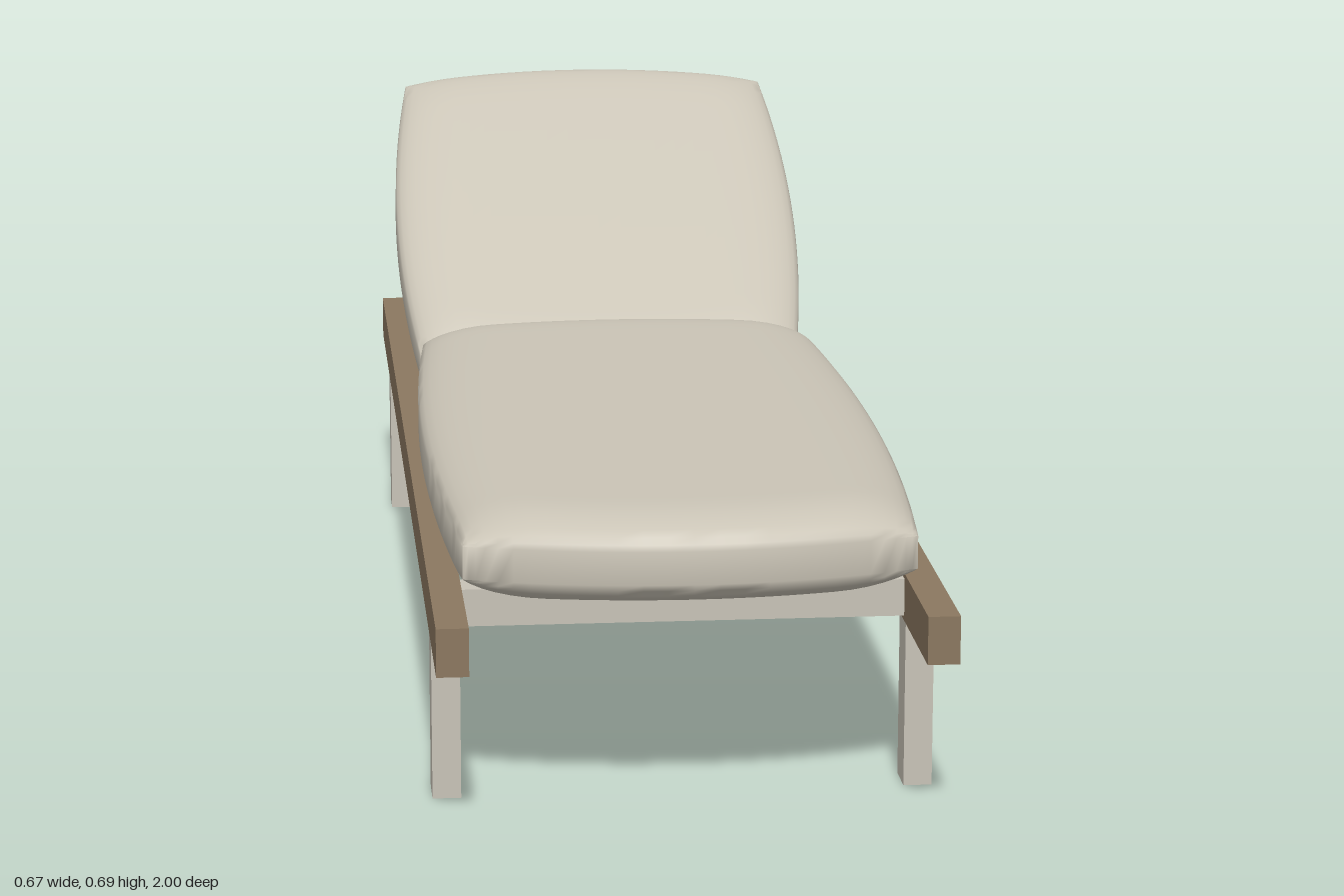
import * as THREE from 'three';
import { toCreasedNormals } from 'three/addons/utils/BufferGeometryUtils.js';

const material = (name, color) => new THREE.MeshStandardMaterial({ name, color });

// Pillow with bowed sides and ends, and faces that round off towards a thin edge band
function cushionGeometry({ halfWidth, halfLength, halfHeight, sideBow, endBow, edge, radius }) {
  const geo = new THREE.BoxGeometry(2, 2, 2, 28, 1, 36);
  const pos = geo.attributes.position;
  const round = (d) => {
    const k = 1 - Math.min(1, Math.max(0, d) / radius);
    return Math.sqrt(1 - k * k);
  };
  for (let i = 0; i < pos.count; i++) {
    // rows crowd together near the edges, where the curvature is
    const u = Math.sin(pos.getX(i) * Math.PI / 2);
    const v = Math.sin(pos.getZ(i) * Math.PI / 2);
    const w = halfWidth - sideBow * v * v;
    const l = halfLength - endBow * u * u;
    const puff = round((1 - Math.abs(u)) * w) * round((1 - Math.abs(v)) * l);
    const h = edge + (halfHeight - edge) * puff;
    pos.setXYZ(i, u * w, Math.sign(pos.getY(i)) * h, v * l);
  }
  geo.deleteAttribute('uv');
  geo.clearGroups();
  return toCreasedNormals(geo, 0.9);
}

export function createModel() {
  const model = new THREE.Group();
  model.name = 'sunLounger';
  const wood = material('brown wood', 0x8b7860);
  const frame = material('pale frame', 0xc8c3b7);
  const fabric = material('beige fabric', 0xcac4b6);
  const metal = material('grey metal', 0x666a6e);

  const add = (name, geo, mat, x, y, z, tilt = 0) => {
    const mesh = new THREE.Mesh(geo, mat);
    mesh.name = name;
    mesh.position.set(x, y, z);
    mesh.rotation.x = tilt;
    model.add(mesh);
  };

  // Side rails, legs and backrest struts, mirrored left and right
  const railGeo = new THREE.BoxGeometry(0.042, 0.064, 2);
  const legGeo = new THREE.BoxGeometry(0.038, 0.228, 0.054);
  const strutGeo = new THREE.BoxGeometry(0.02, 0.02, 0.32);
  for (const [side, s] of [['left', 1], ['right', -1]]) {
    add(side + 'Rail', railGeo, wood, s * 0.314, 0.26, 0);
    add(side + 'FrontLeg', legGeo, frame, s * 0.314, 0.114, 0.772);
    add(side + 'BackLeg', legGeo, frame, s * 0.314, 0.114, -0.736);
    add(side + 'BackrestStrut', strutGeo, metal, s * 0.255, 0.35, -0.745, 0.42);
  }

  // Cross bars between the rails
  const barGeo = new THREE.BoxGeometry(0.588, 0.05, 0.05);
  for (let i = 0; i < 5; i++) {
    add('crossBar' + (i + 1), barGeo, frame, 0, 0.26, 0.772 - i * 0.377);
  }

  // Seat cushion lies flat, back cushion is propped up
  add('seatCushion', cushionGeometry({
    halfWidth: 0.322, halfLength: 0.643, halfHeight: 0.062,
    sideBow: 0.027, endBow: 0.052, edge: 0.022, radius: 0.11,
  }), fabric, 0, 0.348, 0.302);
  add('backCushion', cushionGeometry({
    halfWidth: 0.322, halfLength: 0.352, halfHeight: 0.053,
    sideBow: 0.027, endBow: 0.03, edge: 0.02, radius: 0.1,
  }), fabric, 0, 0.48, -0.652, 0.567);

  return model;
}
